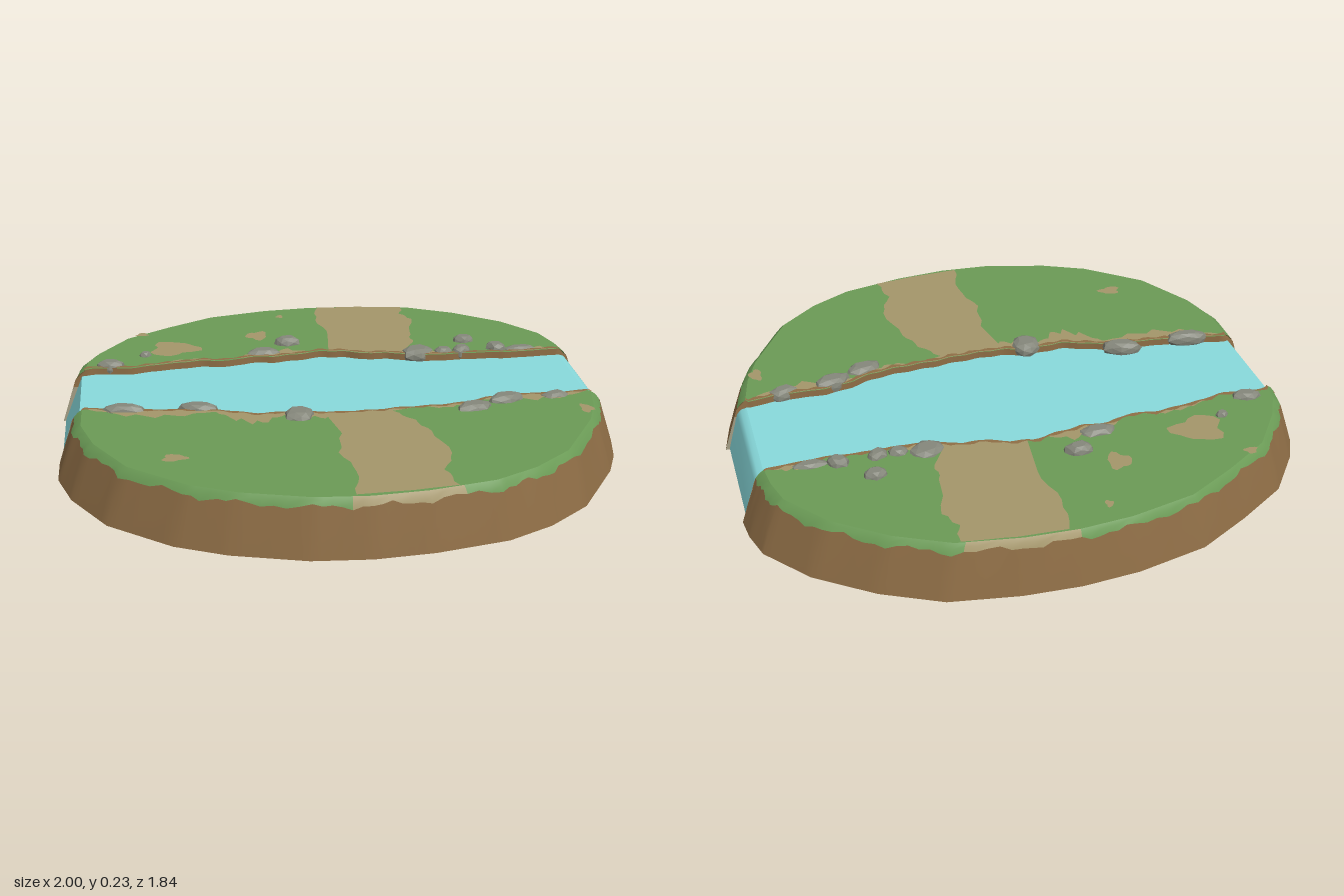
import * as THREE from 'three';

const mat = (name, color, side = THREE.DoubleSide) => {
  const m = new THREE.MeshStandardMaterial({ color, side });
  m.name = name;
  return m;
};

// Foot outlines of both banks and the river's edges, as [x, z], running left to right
const OUTER = {
  back: [[-1, -0.29], [-0.985, -0.38], [-0.94, -0.47], [-0.82, -0.63], [-0.64, -0.745], [-0.45, -0.85], [-0.2, -0.905], [0, -0.92],
    [0.2, -0.91], [0.44, -0.87], [0.64, -0.77], [0.83, -0.63], [0.96, -0.47], [0.99, -0.37], [1, -0.285]],
  front: [[-1, 0.08], [-1, 0.22], [-0.95, 0.38], [-0.83, 0.58], [-0.62, 0.75], [-0.45, 0.83], [-0.2, 0.9], [0, 0.915],
    [0.2, 0.9], [0.45, 0.85], [0.61, 0.77], [0.76, 0.65], [0.92, 0.4], [0.97, 0.28], [1, 0.15]],
};
const EDGE = {
  back: [[-1, -0.29], [-0.9, -0.3], [-0.87, -0.31], [-0.73, -0.29], [-0.66, -0.31], [-0.47, -0.335], [-0.37, -0.32], [-0.28, -0.35],
    [-0.19, -0.34], [-0.1, -0.355], [0, -0.375], [0.08, -0.36], [0.19, -0.32], [0.24, -0.33], [0.3, -0.3], [0.4, -0.28],
    [0.6, -0.28], [0.7, -0.27], [0.9, -0.28], [1, -0.285]],
  front: [[-1, 0.08], [-0.9, 0.07], [-0.75, 0.105], [-0.55, 0.13], [-0.45, 0.14], [-0.38, 0.17], [-0.29, 0.2], [-0.15, 0.19],
    [-0.05, 0.22], [0.1, 0.22], [0.2, 0.21], [0.35, 0.205], [0.45, 0.19], [0.52, 0.16], [0.62, 0.14], [0.8, 0.15],
    [0.9, 0.135], [1, 0.15]],
};
const TOP = 0.2, WATER = 0.175;

// Straight-line lookup through [key, value] points
function lookup(points, k) {
  for (let i = 1; i < points.length; i++) {
    const [a, va] = points[i - 1], [b, vb] = points[i];
    if (k <= b) return va + (vb - va) * Math.max(0, k - a) / (b - a);
  }
  return points[points.length - 1][1];
}
const inset = y => lookup([[0, 0], [0.165, 0.055], [0.185, 0.068], [TOP, 0.09]], y);
const leanIn = ([x, z], y) => [x * (1 - inset(y)), y, z * (1 - inset(y) * 0.6 * Math.abs(z))];
const edgeAt = (side, x) => lookup(EDGE[side], x) + 0.004 * Math.sin(x * 57) * (1 - Math.abs(x));

// Surface through equally long rows of points
function grid(rows) {
  const n = rows[0].length, index = [];
  for (let r = 0; r + 1 < rows.length; r++) {
    for (let i = 0; i + 1 < n; i++) {
      const a = r * n + i;
      index.push(a, a + 1, a + n, a + 1, a + n + 1, a + n);
    }
  }
  const g = new THREE.BufferGeometry();
  g.setAttribute('position', new THREE.Float32BufferAttribute(rows.flat(2), 3));
  g.setIndex(index);
  g.computeVertexNormals();
  return g;
}

// Level sheet with an [x, z] outline
function sheet(points, y) {
  const g = new THREE.ShapeGeometry(new THREE.Shape(points.map(([x, z]) => new THREE.Vector2(x, -z))));
  return g.rotateX(-Math.PI / 2).translate(0, y, 0);
}

const range = (a, b, n) => Array.from({ length: n + 1 }, (_, i) => a + (b - a) * i / n);

function resample(points, perSegment) {
  const out = [];
  for (let i = 0; i + 1 < points.length; i++) {
    for (let j = 0; j < perSegment; j++) {
      const t = j / perSegment;
      out.push([0, 1].map(k => points[i][k] + (points[i + 1][k] - points[i][k]) * t));
    }
  }
  out.push(points[points.length - 1]);
  return out;
}

export function createModel() {
  const model = new THREE.Group();
  const grass = mat('grass', 0x6b9b56), dirt = mat('path dirt', 0xa4966a), soil = mat('soil', 0x8f6e46);
  const water = mat('water', 0x88dadc), bed = mat('river bank stone', 0xa39d84);
  const rock = mat('rock', 0x85877b, THREE.FrontSide);
  rock.flatShading = true;

  const add = (parent, name, geometry, material) => {
    const m = new THREE.Mesh(geometry, material);
    m.name = name;
    parent.add(m);
    return m;
  };

  // Dirt paths across each bank: outline beyond the river edge, from right to left
  const paths = {
    back: { x0: 0.02, x1: 0.29, far: [[0.36, -0.42], [0.36, -0.5], [0.4, -0.68], [0.365, -0.75], [0.385, -0.83], [0.2, -0.858],
      [0.03, -0.867], [0.01, -0.72], [0.045, -0.55]] },
    front: { x0: -0.07, x1: 0.27, far: [[0.17, 0.235], [0.23, 0.32], [0.27, 0.42], [0.31, 0.6], [0.26, 0.72], [0.28, 0.835],
      [0.13, 0.852], [-0.05, 0.858], [-0.02, 0.7], [-0.06, 0.55], [-0.035, 0.4]] },
  };
  // Worn dirt beside the water: start, end, depth
  const worn = {
    back: [[-0.68, -0.42, 0.025], [-0.32, -0.06, 0.07], [0.28, 0.46, 0.06], [0.72, 0.89, 0.04]],
    front: [[-0.89, -0.42, 0.065], [-0.45, -0.2, 0.09], [-0.25, 0.0, 0.06], [0.27, 0.5, 0.03], [0.5, 0.89, 0.06]],
  };
  // Bare patches: x, z, half width, half depth
  const patches = {
    back: [[-0.57, -0.47, 0.1, 0.08], [-0.24, -0.57, 0.045, 0.05], [-0.69, -0.64, 0.025, 0.02], [-0.13, -0.78, 0.015, 0.02]],
    front: [[-0.6, 0.52, 0.045, 0.03], [0.85, 0.3, 0.025, 0.04]],
  };
  // Rocks: x, z, width, depth, top height, turn
  const rocks = {
    back: [[-0.81, -0.33, 0.11, 0.06, 0.22, -0.2], [-0.68, -0.415, 0.05, 0.04, 0.215, 0.2], [-0.23, -0.385, 0.14, 0.07, 0.217, 0],
      [-0.13, -0.475, 0.1, 0.065, 0.228, 0], [0.36, -0.325, 0.13, 0.1, 0.217, 0.2], [0.46, -0.31, 0.075, 0.055, 0.217, 0],
      [0.53, -0.31, 0.075, 0.055, 0.222, 0.4], [0.56, -0.415, 0.085, 0.06, 0.222, 0], [0.665, -0.315, 0.08, 0.06, 0.225, -0.4],
      [0.76, -0.3, 0.14, 0.05, 0.213, 0]],
    front: [[-0.76, 0.105, 0.16, 0.055, 0.222, -0.15], [-0.5, 0.118, 0.15, 0.065, 0.218, -0.25], [-0.16, 0.225, 0.11, 0.11, 0.222, 0.1],
      [0.46, 0.235, 0.14, 0.08, 0.218, 0.2], [0.59, 0.18, 0.14, 0.075, 0.222, 0.2], [0.77, 0.17, 0.11, 0.06, 0.215, 0.2]],
  };

  for (const side of ['back', 'front']) {
    const bank = new THREE.Group();
    bank.name = side + 'Bank';
    model.add(bank);
    const s = side === 'back' ? -1 : 1;
    const order = list => (s > 0 ? list : [...list].reverse());
    const outer = resample(OUTER[side], 6);

    // Soil skirt with a ragged upper rim, and the turf lip above it
    const rim = outer.map((p, i) => 0.172 + 0.007 * Math.sin(i * 0.9) + 0.005 * Math.sin(i * 2.3 + s));
    const ring = f => outer.map((p, i) => leanIn(p, f(rim[i])));
    add(bank, 'soilSkirt', grid([() => 0, () => 0.08, y => y].map(f => order(ring(f))).reverse()), soil);
    const lip = grid([y => y, y => (y + TOP) / 2 + 0.003, () => TOP].map(f => order(ring(f))).reverse());
    const { x0, x1, far } = paths[side];
    const farX = side === 'back' ? [0.03, 0.385] : [-0.05, 0.28];
    const pos = lip.attributes.position, idx = lip.index.array;
    for (let i = 0; i < idx.length; i += 6) {
      const x = pos.getX(idx[i]);
      lip.addGroup(i, 6, x > farX[0] - 0.02 && x < farX[1] ? 1 : 0);
    }
    add(bank, 'turfLip', lip, [grass, dirt]);

    // Turf top, bounded by the rim and the river edge
    const xs = range(-0.9, 0.9, 90);
    const edge = [[-0.91, EDGE[side][0][1]], ...xs.map(x => [x, edgeAt(side, x)]), [0.91, EDGE[side].at(-1)[1]]];
    const topRim = outer.map(p => leanIn(p, TOP)).map(([x, , z]) => [x, z]).slice(1, -1);
    add(bank, 'turfTop', sheet([...edge, ...topRim.reverse()], TOP), grass);

    // Channel wall: soil above, stone below
    const wallRow = y => edge.map(([x, z], i) =>
      [i === 0 || i === edge.length - 1 ? Math.sign(x) * (1 - inset(y)) : x, y, z]);
    add(bank, 'channelSoil', grid([TOP, 0.165, 0.135].map(wallRow)), soil);
    add(bank, 'channelStone', grid([0.135, 0.07, 0].map(wallRow)), bed);

    // Crumbling soil line along the river edge
    const inner = edge.map(([x, z], i) => [x, z + s * (0.013 + 0.006 * Math.sin(i * 1.7))]);
    add(bank, 'edgeSoil', sheet([...edge, ...inner.reverse()], TOP + 0.004), soil);

    // Path, worn ground and bare patches
    const strip = (a, b) => range(a, b, 14).map(x => [x, edgeAt(side, x)]);
    const ragged = resample(far, 4).map(([x, z], i) => [x + 0.006 * Math.sin(i * 1.9), z]);
    add(bank, 'path', sheet([...strip(x0, x1), ...ragged], TOP + 0.002), dirt);
    for (const [a, b, depth] of worn[side]) {
      const near = strip(a, b);
      const back = near.map(([x, z], i) =>
        [x, z + s * depth * (0.2 + Math.sin(Math.PI * i / 14) * (0.7 + 0.25 * Math.sin(i * 2.1)))]);
      add(bank, 'wornGround', sheet([...near, ...back.reverse()], TOP + 0.0025), dirt);
    }
    for (const [x, z, w, d] of patches[side]) {
      const blob = range(0, 2 * Math.PI, 18).slice(0, -1).map(t => {
        const r = 0.9 + 0.18 * Math.sin(t * 3 + x * 9) + 0.1 * Math.sin(t * 5);
        return [x + w * r * Math.cos(t), z + d * r * Math.sin(t)];
      });
      add(bank, 'barePatch', sheet(blob, TOP + 0.002), dirt);
    }

    // Rocks: flattened, slightly squared boulders sunk into the turf
    for (const [x, z, w, d, top, turn] of rocks[side]) {
      const g = new THREE.IcosahedronGeometry(1, 1), p = g.attributes.position;
      for (let i = 0; i < p.count; i++) {
        const v = new THREE.Vector3().fromBufferAttribute(p, i);
        const k = 1 + 0.13 * Math.sin(v.x * 5 + x * 20) * Math.cos(v.z * 4 + z * 30);
        p.setXYZ(i, v.x * k, THREE.MathUtils.clamp(v.y * 1.3, -1, 1), v.z * k);
      }
      g.scale(w / 2, 0.028, d / 2);
      g.computeVertexNormals();
      const m = add(bank, 'rock', g, rock);
      m.position.set(x, top - 0.028, z);
      m.rotation.y = turn;
    }
  }

  // River: level surface and two sloping ends
  const river = new THREE.Group();
  river.name = 'river';
  model.add(river);
  const across = (x, y) => [[x, y, edgeAt('back', x) - 0.002], [x, y, edgeAt('front', x) + 0.002]];
  add(river, 'waterSurface', grid([...range(-0.92, 0.91, 90).map(x => across(x, WATER))]), water);
  add(river, 'rightEnd', grid([across(-0.99, 0.005), across(-0.92, WATER)]), water);
  add(river, 'leftEnd', grid([across(0.91, WATER), across(0.93, 0.168), across(0.945, 0.15), across(0.985, 0.005)]), water);

  // Make the water face up and outward
  river.children.forEach(m => {
    if (m.geometry.attributes.normal.getY(0) < 0) {
      m.geometry.index.array.reverse();
      m.geometry.computeVertexNormals();
    }
  });
  return model;
}
